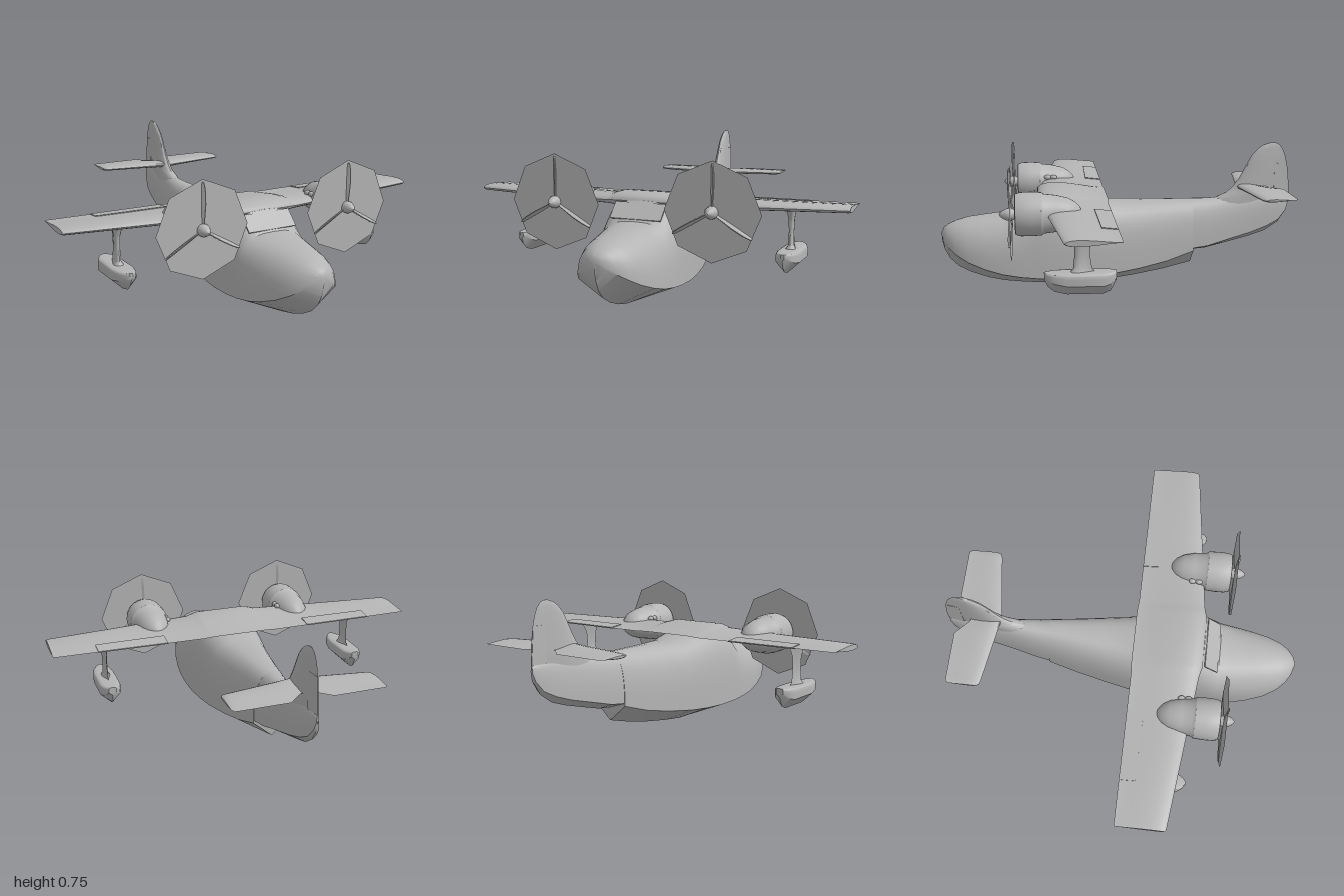
import * as THREE from 'three';
import { toCreasedNormals } from 'three/addons/utils/BufferGeometryUtils.js';

const grey = new THREE.MeshStandardMaterial({ color: 0xb4b4b4 });
grey.name = 'light grey';
const discGrey = new THREE.MeshStandardMaterial({ color: 0xb4b4b4, side: THREE.DoubleSide });
discGrey.name = 'light grey thin';

// Skin closed rings of [x, y, z] points, cap both ends and face outward
function loft(rings, crease = 0.6) {
  const n = rings[0].length, pos = rings.flat(2), idx = [];
  for (let i = 0; i < rings.length - 1; i++) {
    for (let j = 0; j < n; j++) {
      const a = i * n + j, b = i * n + (j + 1) % n;
      idx.push(a, b, a + n, b, b + n, a + n);
    }
  }
  [0, rings.length - 1].forEach((r, end) => {
    const c = pos.length / 3;
    for (let k = 0; k < 3; k++) pos.push(rings[r].reduce((s, p) => s + p[k], 0) / n);
    for (let j = 0; j < n; j++) {
      const a = r * n + j, b = r * n + (j + 1) % n;
      if (end) idx.push(a, b, c); else idx.push(b, a, c);
    }
  });
  // a negative volume means the winding is inside out
  const v = i => new THREE.Vector3(pos[3 * i], pos[3 * i + 1], pos[3 * i + 2]);
  let vol = 0;
  for (let i = 0; i < idx.length; i += 3) vol += v(idx[i]).dot(v(idx[i + 1]).cross(v(idx[i + 2])));
  if (vol < 0) idx.reverse();
  const g = new THREE.BufferGeometry();
  g.setAttribute('position', new THREE.Float32BufferAttribute(pos, 3));
  g.setIndex(idx);
  return toCreasedNormals(g, crease);
}

// Boat section: V bottom from keel to chine, rounded shell above; e sets boxiness
function hullRing([z, keel, chine, w, top, e]) {
  const ring = [[0, keel, z]], n = 20;
  for (let i = 0; i <= n; i++) {
    const t = Math.PI * i / n, c = Math.cos(t);
    const s = Math.max(0, Math.sin(t));
    ring.push([w * Math.sign(c) * Math.pow(Math.abs(c), e), chine + (top - chine) * Math.pow(s, e), z]);
  }
  return ring;
}

// Teardrop section lying across x (wings) or y (fins, struts)
function foil(axis, at, front, back, half, centre = 0, n = 20) {
  return Array.from({ length: n }, (_, i) => {
    const t = 2 * Math.PI * i / n;
    const z = front + (back - front) * (1 - Math.cos(t)) / 2;
    const d = centre + half * 0.77 * Math.sin(t) * (1 + Math.cos(t));
    return axis === 'x' ? [at, d, z] : [d, at, z];
  });
}

// Four-cornered section for control surfaces
function slab(axis, at, front, back, hf, hb, centre = 0) {
  return [[hf, front], [hb, back], [-hb, back], [-hf, front]].map(([d, z]) =>
    axis === 'x' ? [at, centre + d, z] : [d + centre, at, z]);
}

function add(parent, name, geometry, x = 0, y = 0, z = 0, material = grey) {
  const m = new THREE.Mesh(geometry, material);
  m.name = name;
  m.position.set(x, y, z);
  parent.add(m);
  return m;
}

// Stations listed for the +x half, mirrored to a full span
const span = list => [...list.slice().reverse().map(([x, ...r]) => [-x, ...r]), ...list];

function makeEngine(s) {
  const g = new THREE.Group();
  g.name = s > 0 ? 'leftEngine' : 'rightEngine';
  g.position.set(s * 0.412, 0.485, 0);
  // nacelle tail, cowling and recessed intake in one turned profile
  const profile = [[0, 0.21], [0.03, 0.222], [0.055, 0.245], [0.075, 0.28], [0.09, 0.34], [0.097, 0.4],
    [0.105, 0.41], [0.108, 0.46], [0.107, 0.51], [0.1, 0.535], [0.088, 0.538], [0.08, 0.5], [0, 0.5]];
  const cowl = new THREE.LatheGeometry(profile.map(p => new THREE.Vector2(...p)), 32).rotateX(Math.PI / 2);
  add(g, 'cowlingAndNacelle', toCreasedNormals(cowl, 0.6));
  const nose = [[0.022, 0.5], [0.024, 0.54], [0.031, 0.555], [0.03, 0.575], [0.02, 0.597], [0.009, 0.61], [0, 0.615]];
  add(g, 'spinner', new THREE.LatheGeometry(nose.map(p => new THREE.Vector2(...p)), 20).rotateX(Math.PI / 2));
  // flat octagonal sweep disc with three blades
  add(g, 'propellerDisc', new THREE.CircleGeometry(0.24, 8), 0, 0, 0.557, discGrey);
  const blade = loft([[0.015, 0.007], [0.06, 0.01], [0.12, 0.015], [0.18, 0.014], [0.215, 0.009], [0.226, 0.003]]
    .map(([r, w]) => foil('y', r, w, -w, 0.004, 0, 10))).rotateY(0.9);
  for (let i = 0; i < 3; i++) add(g, 'propellerBlade', blade, 0, 0, 0.56).rotation.z = i * Math.PI * 2 / 3;
  // exhaust stubs on the inboard side
  for (const z of [0.335, 0.37]) {
    add(g, 'exhaustStub', new THREE.SphereGeometry(0.014, 12, 8), -s * 0.085, 0.035, z).scale.z = 1.4;
  }
  return g;
}

function makeFloat(s) {
  const g = new THREE.Group();
  g.name = s > 0 ? 'leftFloat' : 'rightFloat';
  g.position.x = s * 0.708;
  const stations = [[0.405, 0.245, 0.262, 0.008, 0.28, 0.4], [0.39, 0.213, 0.25, 0.027, 0.28, 0.35],
    [0.36, 0.186, 0.235, 0.045, 0.28, 0.3], [0.3, 0.171, 0.225, 0.057, 0.28, 0.3],
    [0.13, 0.17, 0.222, 0.055, 0.28, 0.3], [0.095, 0.185, 0.23, 0.042, 0.28, 0.3],
    [0.07, 0.235, 0.25, 0.02, 0.28, 0.35]];
  add(g, 'floatHull', loft(stations.map(hullRing)));
  const strut = [[0.27, 0.29, 0.165, 0.03], [0.295, 0.272, 0.185, 0.014], [0.36, 0.265, 0.195, 0.012],
    [0.42, 0.267, 0.19, 0.014], [0.455, 0.28, 0.17, 0.02], [0.485, 0.295, 0.15, 0.025]];
  add(g, 'floatStrut', loft(strut.map(([y, f, b, h]) => foil('y', y, f, b, h))));
  return g;
}

export function createModel() {
  const model = new THREE.Group();
  model.name = 'flyingBoat';

  // Forward hull with cabin: z, keel, chine, half width, top, boxiness
  const forward = [[0.937, 0.255, 0.285, 0.008, 0.3, 1], [0.925, 0.205, 0.262, 0.05, 0.325, 1],
    [0.9, 0.155, 0.24, 0.09, 0.343, 0.95], [0.855, 0.11, 0.207, 0.13, 0.362, 0.9],
    [0.79, 0.075, 0.172, 0.162, 0.377, 0.85], [0.7, 0.042, 0.138, 0.187, 0.387, 0.8],
    [0.61, 0.022, 0.114, 0.202, 0.395, 0.72], [0.52, 0.012, 0.1, 0.21, 0.407, 0.65],
    [0.43, 0.005, 0.091, 0.213, 0.497, 0.6], [0.3, 0.001, 0.086, 0.211, 0.5, 0.6],
    [0.18, 0.001, 0.088, 0.2, 0.485, 0.62], [0.06, 0.013, 0.095, 0.183, 0.457, 0.65],
    [-0.1, 0.036, 0.115, 0.155, 0.455, 0.7], [-0.25, 0.064, 0.143, 0.128, 0.455, 0.75],
    [-0.4, 0.102, 0.188, 0.1, 0.455, 0.8]];
  add(model, 'forwardHull', loft(forward.map(hullRing)));

  // Tail boom behind the hull step
  const aft = [[-0.38, 0.168, 0.2, 0.1, 0.455, 0.8], [-0.48, 0.177, 0.21, 0.085, 0.455, 0.8],
    [-0.6, 0.207, 0.24, 0.063, 0.463, 0.85], [-0.72, 0.238, 0.27, 0.046, 0.47, 0.9],
    [-0.81, 0.268, 0.3, 0.035, 0.47, 0.9], [-0.88, 0.315, 0.335, 0.024, 0.465, 0.9],
    [-0.92, 0.375, 0.385, 0.013, 0.46, 0.9], [-0.933, 0.42, 0.425, 0.006, 0.455, 0.9]];
  add(model, 'tailBoom', loft(aft.map(hullRing)));

  // Windscreen pane
  const pane = add(model, 'windscreen', new THREE.BoxGeometry(0.27, 0.006, 0.1), 0, 0.451, 0.476);
  pane.rotation.x = Math.atan2(0.09, 0.09);

  // Wing with a thicker centre section over the cabin
  const wing = [[0.14, 0.43, 0.06, 0.038, 0.492], [0.17, 0.422, 0.062, 0.033, 0.49], [0.2, 0.415, 0.065, 0.026, 0.487],
    [0.6, 0.368, 0.065, 0.021, 0.489], [0.99, 0.322, 0.065, 0.017, 0.492], [1, 0.315, 0.068, 0.014, 0.492]];
  add(model, 'wing', loft(span(wing).map(([x, f, b, h, c]) => foil('x', x, f, b, h, c, 28))));

  // Tailplane with trailing edge cut away beside the rudder
  const tail = [[0.01, -0.645, -0.805, 0.017], [0.03, -0.648, -0.808, 0.017], [0.105, -0.66, -0.88, 0.016],
    [0.35, -0.697, -0.88, 0.012], [0.37, -0.703, -0.878, 0.01], [0.378, -0.72, -0.86, 0.006]];
  add(model, 'tailplane', loft(span(tail).map(([x, f, b, h]) => foil('x', x, f, b, h, 0.517))));

  // Swept fin blending up from the boom
  const fin = [[0.42, -0.5, -0.934, 0.038], [0.458, -0.53, -0.936, 0.036], [0.485, -0.59, -0.936, 0.032],
    [0.52, -0.63, -0.935, 0.028], [0.57, -0.663, -0.93, 0.024], [0.63, -0.695, -0.922, 0.02],
    [0.685, -0.725, -0.908, 0.016], [0.72, -0.757, -0.893, 0.012], [0.742, -0.79, -0.875, 0.008],
    [0.753, -0.825, -0.853, 0.003]];
  add(model, 'fin', loft(fin.map(([y, f, b, h]) => foil('y', y, f, b, h))));
  add(model, 'rudder', loft([slab('y', 0.46, -0.85, -0.934, 0.015, 0.003), slab('y', 0.64, -0.85, -0.918, 0.009, 0.002)]));

  for (const s of [1, -1]) {
    add(model, s > 0 ? 'leftAileron' : 'rightAileron', loft([
      slab('x', s * 0.4, 0.152, 0.066, 0.013, 0.003, 0.488), slab('x', s * 0.77, 0.145, 0.066, 0.012, 0.003, 0.49)]));
    model.add(makeEngine(s), makeFloat(s));
  }
  return model;
}
